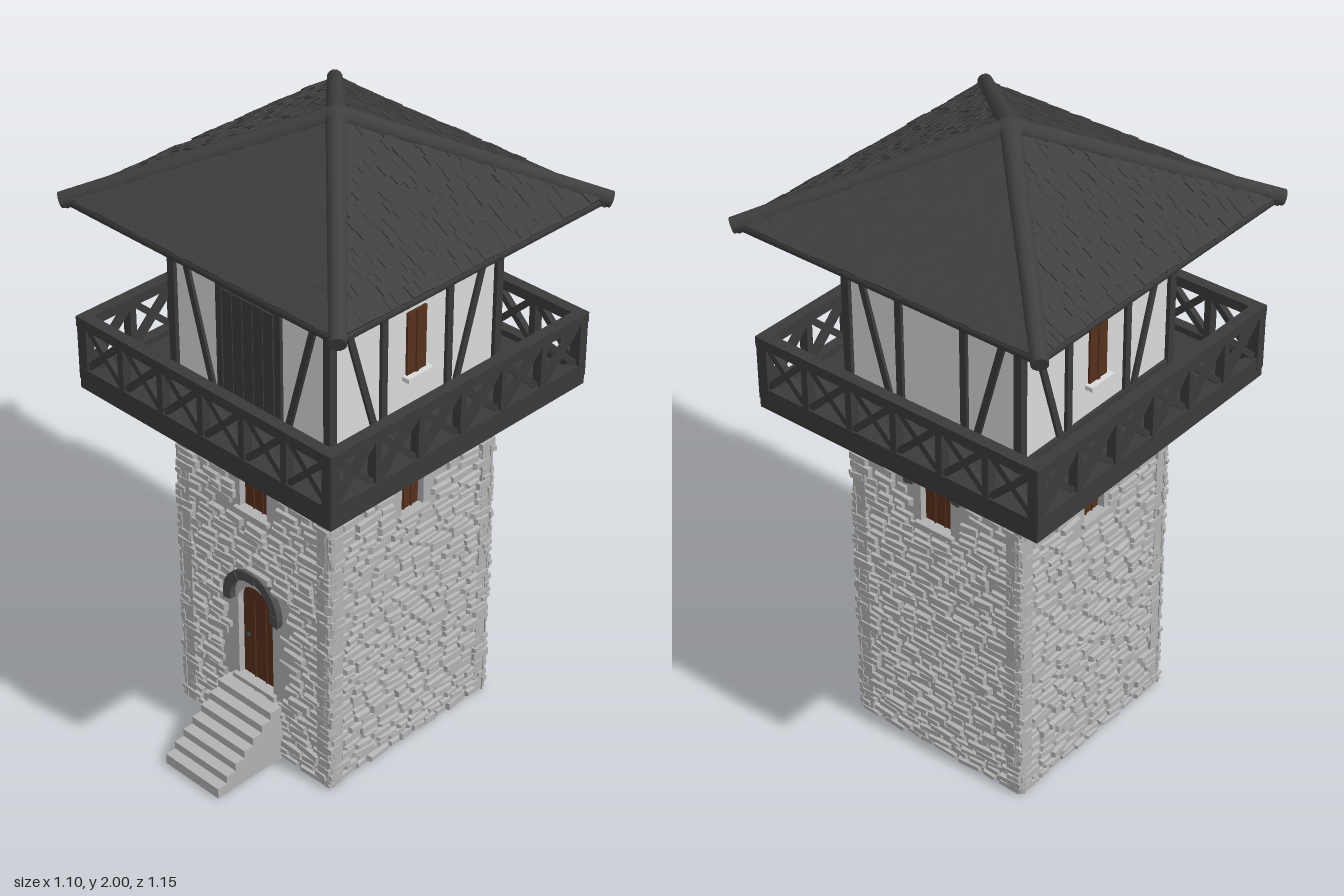
import * as THREE from 'three';
import { mergeGeometries } from 'three/addons/utils/BufferGeometryUtils.js';

const mat = (name, color) => new THREE.MeshStandardMaterial({ name, color });
const V = (x, y, z) => new THREE.Vector3(x, y, z);

let seed = 7;
const rnd = (a = 0, b = 1) => {
  seed = (seed * 16807) % 2147483647;
  return a + (b - a) * (seed / 2147483647);
};

export function createModel() {
  const stone = mat('stone', 0xb2b2b2);
  const plaster = mat('plaster', 0xd9d9d9);
  const timber = mat('dark timber', 0x3a3a3a);
  const slate = mat('roof shingle', 0x3f3f3f);
  const archStone = mat('dark arch stone', 0x4c4c4c);
  const wood = mat('brown wood', 0x56301c);

  const model = new THREE.Group();
  const tower = new THREE.Group();
  tower.name = 'watchtower';
  tower.position.z = -0.025;
  model.add(tower);

  const add = (parent, name, geo, material) => {
    const m = new THREE.Mesh(geo, material);
    m.name = name;
    parent.add(m);
    return m;
  };
  const box = (w, h, d, x, y, z) => new THREE.BoxGeometry(w, h, d).translate(x, y, z);
  // square beam or round pole between two points
  const orient = (geo, a, b) => {
    const q = new THREE.Quaternion().setFromUnitVectors(V(0, 1, 0), b.clone().sub(a).normalize());
    const c = a.clone().add(b).multiplyScalar(0.5);
    return geo.applyQuaternion(q).translate(c.x, c.y, c.z);
  };
  const beam = (a, b, t, t2 = t) => orient(new THREE.BoxGeometry(t, a.distanceTo(b), t2), a, b);
  const pole = (a, b, r, r2 = r) => orient(new THREE.CylinderGeometry(r2, r, a.distanceTo(b), 12), a, b);
  // one group per side, with local +z pointing outwards: front, +x, back, -x
  const side = (i, name) => {
    const g = new THREE.Group();
    g.name = ['front', 'left', 'back', 'right'][i] + name;
    g.rotation.y = i * Math.PI / 2;
    tower.add(g);
    return g;
  };
  // arched outline: half width, sill and spring heights
  const arched = (C, hw, y0, ys) => {
    const s = new C();
    s.moveTo(-hw, y0);
    s.lineTo(hw, y0);
    s.lineTo(hw, ys);
    s.absarc(0, ys, hw, 0, Math.PI, false);
    s.lineTo(-hw, y0);
    return s;
  };
  const extrude = (shape, depth, z) => new THREE.ExtrudeGeometry(shape,
    { depth, bevelEnabled: false, curveSegments: 12 }).translate(0, 0, z);

  // rough masonry block with a smaller outer face
  const block = (w, h, d) => {
    const g = new THREE.BoxGeometry(w, h, d);
    const p = g.attributes.position;
    const sx = rnd(0.65, 0.9), sy = rnd(0.4, 0.75), tilt = rnd(-0.003, 0.003);
    for (let k = 0; k < p.count; k++) {
      if (p.getZ(k) > 0) p.setXYZ(k, p.getX(k) * sx, p.getY(k) * sy, p.getZ(k) + Math.sign(p.getX(k)) * tilt);
    }
    g.computeVertexNormals();
    return g;
  };

  const HX = 0.315, HZ = 0.34;
  add(tower, 'towerCore', box(2 * HX - 0.1, 1.12, 2 * HZ - 0.1, 0, 0.56, 0), stone);

  for (let i = 0; i < 4; i++) {
    const w = i % 2 ? HZ : HX, d = (i % 2 ? HX : HZ) - 0.008;
    const g = side(i, 'StoneWall');
    // each opening: half width, sill, spring, arch inner and outer radius
    const openings = [{ hw: i % 2 ? 0.045 : 0.055, y0: 0.83, ys: 0.95, ri: 0.068, ro: 0.1, yc: 0.98 }];
    if (i === 0) openings.push({ hw: 0.072, y0: 0.215, ys: 0.49, ri: 0.083, ro: 0.114, yc: 0.512 });

    const wall = new THREE.Shape([[-w, 0], [w, 0], [w, 1.12], [-w, 1.12]].map(p => new THREE.Vector2(...p)));
    wall.autoClose = true;
    openings.forEach(o => wall.holes.push(arched(THREE.Path, o.hw, o.y0, o.ys)));
    add(g, 'wall', extrude(wall, 0.045, d - 0.045), stone);

    // coursed rubble
    const blocks = [];
    for (let y = 0; y < 1.11;) {
      const h = Math.min(rnd(0.019, 0.034), 1.12 - y);
      for (let x = -w - rnd(0, 0.006); x < w - 0.01;) {
        const len = Math.min(rnd(0.04, 0.11), w + 0.004 - x), cx = x + len / 2;
        const hit = openings.some(o => x < o.hw + 0.01 && x + len > -o.hw - 0.01 && y + h > o.y0 - 0.008 && y < o.ys + o.hw);
        if (!hit) blocks.push(block(len, h * 1.05, rnd(0.012, 0.028)).rotateZ(rnd(-0.07, 0.07)).translate(cx, y + h / 2, d));
        x += len;
      }
      y += h;
    }
    add(g, 'rubbleStones', mergeGeometries(blocks), stone);

    openings.forEach((o, k) => {
      add(g, k ? 'entranceDoor' : 'windowShutter', extrude(arched(THREE.Shape, o.hw, o.y0, o.ys), 0.008, d - 0.03), wood);
      // plank joints
      for (const x of [-0.33, 0.33]) {
        add(g, 'plankBatten', box(0.004, o.ys - o.y0, 0.006, x * o.hw, (o.ys + o.y0) / 2, d - 0.021), wood);
      }
      add(g, 'sill', box(o.hw * 2 + 0.03, 0.014, 0.03, 0, o.y0 - 0.005, d), stone);
      // voussoirs
      const n = 9, a0 = -0.22, step = (Math.PI - 2 * a0) / n, parts = [];
      for (let v = 0; v < n; v++) {
        const s = new THREE.Shape(), a = a0 + v * step, b = a + step * 0.97;
        s.absarc(0, 0, o.ro, a, b, false);
        s.absarc(0, 0, o.ri, b, a, true);
        parts.push(extrude(s, rnd(0.02, 0.025), d - 0.002).translate(0, o.yc, 0));
      }
      add(g, 'arch', mergeGeometries(parts), archStone);
    });
    if (i === 0) add(g, 'doorHandle', new THREE.SphereGeometry(0.008, 10, 8).translate(-0.05, 0.36, d - 0.018), timber);
  }

  // entrance stairs
  const stairs = new THREE.Shape();
  const N = 7;
  stairs.moveTo(0.3, 0);
  stairs.lineTo(0.575, 0);
  for (let k = 0; k < N; k++) {
    const z = 0.575 - k * 0.036, y = 0.035 + k * 0.0265;
    stairs.lineTo(z, y);
    stairs.lineTo(k < N - 1 ? z - 0.036 : 0.3, y);
  }
  add(model, 'stairs', extrude(stairs, 0.225, -0.1125).rotateY(-Math.PI / 2), stone);

  // balcony floor and railing
  const BX = 0.5, BZ = 0.512, BO = 0.0125;
  add(tower, 'balconyFloor', box(2 * BX, 0.05, 2 * BZ, 0, 1.145, BO), timber);
  add(tower, 'balconySoffit', box(2 * BX - 0.03, 0.006, 2 * BZ - 0.03, 0, 1.118, BO), plaster);
  for (let i = 0; i < 4; i++) {
    const w = (i % 2 ? BZ : BX) - 0.015, d = (i % 2 ? BX : BZ) - 0.015;
    const g = side(i, 'Railing');
    g.position.z = BO;
    const n = 6, pw = 2 * w / n, parts = [];
    parts.push(box(2 * w + 0.035, 0.032, 0.036, 0, 1.34, d), box(2 * w + 0.03, 0.03, 0.032, 0, 1.175, d));
    for (let k = 0; k <= n; k++) {
      const x = -w + k * pw;
      if (k < n || i % 2 === 0) parts.push(box(k % n ? 0.022 : 0.036, 0.2, 0.03, x, 1.25, d));
      if (k === n) break;
      parts.push(beam(V(x, 1.18, d), V(x + pw, 1.335, d), 0.02), beam(V(x + pw, 1.18, d - 0.004), V(x, 1.335, d - 0.004), 0.02));
    }
    add(g, 'railingTimbers', mergeGeometries(parts), timber);
  }

  // half-timbered guard room
  const RX = 0.305, RZ = 0.33;
  add(tower, 'plasterRoom', box(2 * RX, 0.63, 2 * RZ, 0, 1.475, 0), plaster);
  for (let i = 0; i < 4; i++) {
    const w = i % 2 ? RZ : RX, d = i % 2 ? RX : RZ;
    const g = side(i, 'Framing');
    const px = i % 2 ? 0.13 : 0.115, parts = [];
    parts.push(box(0.026, 0.62, 0.026, w, 1.47, d));
    parts.push(box(2 * w, 0.022, 0.022, 0, 1.56, d), box(2 * w, 0.03, 0.026, 0, 1.735, d), box(2 * w, 0.03, 0.022, 0, 1.185, d));
    for (const s of [-1, 1]) {
      parts.push(box(0.022, 0.58, 0.022, s * px, 1.46, d));
      parts.push(beam(V(s * (w - 0.01), 1.72, d), V(s * (px + 0.03), 1.18, d), 0.02));
      // struts carrying the eaves
      parts.push(beam(V(s * w, 1.56, d), V(s * (w + 0.165), 1.715, d), 0.02));
      parts.push(beam(V(s * px, 1.6, d), V(s * px, 1.73, d + 0.14), 0.018));
    }
    add(g, 'framingTimbers', mergeGeometries(parts), timber);

    if (i === 0) {
      add(g, 'roomDoor', box(0.21, 0.39, 0.01, 0, 1.365, d + 0.002), timber);
      for (let k = -2; k <= 2; k++) add(g, 'doorPlank', box(0.037, 0.35, 0.008, k * 0.04, 1.36, d + 0.008), timber);
    }
    if (i % 2) {
      add(g, 'roomWindow', box(0.075, 0.2, 0.008, 0, 1.4, d + 0.003), wood);
      add(g, 'windowCrossbar', box(0.01, 0.2, 0.006, 0, 1.4, d + 0.008), wood);
      add(g, 'windowSill', box(0.1, 0.014, 0.03, 0, 1.295, d + 0.01), plaster);
    }
  }

  // hipped roof
  const E = 0.52, Y0 = 1.722, RH = 0.25, slope = Math.atan2(RH, E);
  const shell = (y) => {
    const c = new THREE.ConeGeometry(E * Math.SQRT2, RH, 4, 1, true).rotateY(Math.PI / 4).toNonIndexed();
    c.computeVertexNormals();
    return c.translate(0, y + RH / 2, 0);
  };
  add(tower, 'roofDeck', shell(Y0), slate);
  const lining = shell(Y0 - 0.012);
  slate.side = THREE.DoubleSide;
  add(tower, 'roofLining', lining, slate);

  for (let i = 0; i < 4; i++) {
    const g = side(i, 'RoofSlope');
    const shingles = [], rows = 17;
    for (let r = 0; r < rows; r++) {
      const t = (r + 0.5) / rows, hw = E * (1 - t);
      for (let x = -hw; x < hw - 0.008;) {
        const len = Math.min(rnd(0.022, 0.05), hw - x);
        shingles.push(new THREE.BoxGeometry(len * 0.97, 0.009, 0.043).rotateX(slope + rnd(0.02, 0.13))
          .translate(x + len / 2, Y0 + RH * t + 0.004 + rnd(-0.002, 0.003), E * (1 - t)));
        x += len;
      }
    }
    add(g, 'shingles', mergeGeometries(shingles), slate);

    // eaves pole and rafters
    const parts = [pole(V(-E - 0.01, 1.712, E - 0.008), V(E + 0.01, 1.712, E - 0.008), 0.015)];
    for (let k = -4; k <= 4; k++) {
      const x = k * 0.095, z1 = Math.max(Math.abs(x), 0.2);
      parts.push(beam(V(x, Y0 - 0.022, E - 0.01), V(x, Y0 - 0.022 + RH * (1 - z1 / E), z1), 0.022));
    }
    add(g, 'eavesTimbers', mergeGeometries(parts), timber);
    add(g, 'hipPole', pole(V(E + 0.012, 1.715, E + 0.012), V(0, 1.972, 0), 0.024, 0.03), slate);
  }
  add(tower, 'roofCap', new THREE.SphereGeometry(0.042, 16, 12).scale(1, 0.8, 1).translate(0, 1.967, 0), slate);

  return model;
}
